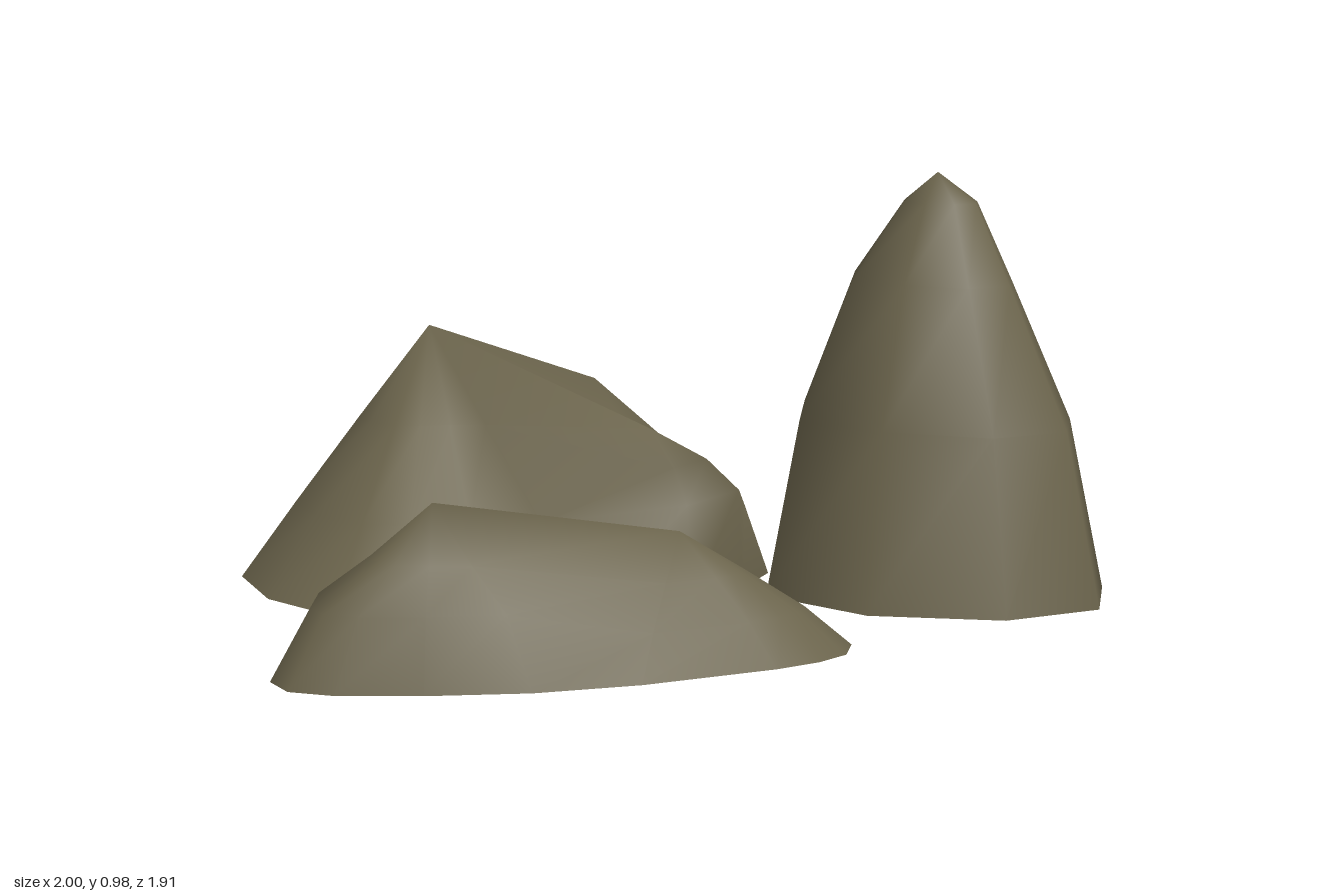
import * as THREE from 'three';
import { mergeVertices } from 'three/addons/utils/BufferGeometryUtils.js';

const stone = new THREE.MeshStandardMaterial({ color: 0x6b644c, side: THREE.DoubleSide });
stone.name = 'olive stone';

// Hollow rock: rings climb from a ground outline to one peak or a two-ended ridge.
// outline: [x, z, slope], where slope names the entry of slopes the point climbs by.
// slopes: the peak, and [share of the way inward, share of the height] for each ring between.
function rock(name, ground, slopes, outline) {
  const n = outline.length;
  const rings = Object.values(slopes)[0].profile.length + 2;
  const points = [];
  for (let r = 0; r < rings; r++) {
    for (const [x, z, slope] of outline) {
      const { peak: [px, py, pz], profile } = slopes[slope];
      const [inward, rise] = [[0, 0], ...profile, [1, 1]][r];
      points.push(x + (px - x) * inward, ground + (py - ground) * rise, z + (pz - z) * inward);
    }
  }
  const index = [];
  for (let r = 0; r < rings - 1; r++) {
    for (let i = 0; i < n; i++) {
      const a = r * n + i, b = r * n + (i + 1) % n;
      index.push(a, a + n, b);
      // the last ring only needs a second triangle where the peak changes
      const samePeak = slopes[outline[i][2]].peak === slopes[outline[(i + 1) % n][2]].peak;
      if (r < rings - 2 || !samePeak) index.push(b, a + n, b + n);
    }
  }
  let geometry = new THREE.BufferGeometry();
  geometry.setAttribute('position', new THREE.Float32BufferAttribute(points, 3));
  geometry.setIndex(index);
  geometry = mergeVertices(geometry, 1e-4);
  geometry.computeVertexNormals();
  const mesh = new THREE.Mesh(geometry, stone);
  mesh.name = name;
  return mesh;
}

export function createModel() {
  const group = new THREE.Group();
  group.name = 'rocks';

  // broad rock: straight front, full back, and a steep-ended spur with a gully behind it
  const summit = [-0.59, 0.595, -0.22];
  const spur = [0.04, 0.4, -0.18];
  group.add(rock('broadRock', 0.01, {
    front: { peak: summit, profile: [[0.29, 0.3], [0.63, 0.64]] },
    side: { peak: summit, profile: [[0.22, 0.34], [0.46, 0.61]] },
    back: { peak: summit, profile: [[0.21, 0.39], [0.45, 0.74]] },
    corner: { peak: summit, profile: [[0.1, 0.28], [0.41, 0.73]] },
    gully: { peak: summit, profile: [[0.07, 0.28], [0.36, 0.5]] },
    spur: { peak: spur, profile: [[0.05, 0.6], [0.4, 0.8]] },
  }, [
    [-1, -0.25, 'front'], [-0.97, -0.43, 'front'], [-0.93, -0.55, 'front'], [-0.86, -0.64, 'side'],
    [-0.62, -0.87, 'back'], [-0.44, -0.93, 'back'], [-0.17, -0.84, 'corner'], [0.07, -0.64, 'gully'],
    [0.17, -0.53, 'gully'], [0.195, -0.35, 'spur'], [0.185, -0.1, 'spur'], [0.02, 0.06, 'front'],
    [-0.18, 0.17, 'front'], [-0.32, 0.31, 'front'], [-0.47, 0.37, 'front'], [-0.7, 0.3, 'front'],
    [-0.9, 0.13, 'front'], [-0.98, -0.07, 'front'],
  ]));

  // tall rock, fullest at the back
  const tip = [0.55, 0.98, -0.63];
  group.add(rock('tallRock', 0.01, {
    front: { peak: tip, profile: [[0.19, 0.42], [0.5, 0.75], [0.8, 0.93]] },
    side: { peak: tip, profile: [[0.21, 0.41], [0.56, 0.74], [0.77, 0.93]] },
    back: { peak: tip, profile: [[0.12, 0.42], [0.29, 0.74], [0.62, 0.93]] },
  }, [
    [0.13, -0.64, 'front'], [0.19, -0.95, 'front'], [0.55, -0.96, 'back'], [0.92, -0.78, 'side'],
    [1, -0.55, 'side'], [0.86, -0.34, 'side'], [0.57, -0.23, 'front'], [0.28, -0.3, 'front'],
  ]));

  // low long rock lying in front
  group.add(rock('lowRock', 0, {
    high: { peak: [0, 0.365, 0.68], profile: [[0.25, 0.42], [0.6, 0.67]] },
    low: { peak: [0.36, 0.27, 0.27], profile: [[0.28, 0.34], [0.62, 0.66]] },
  }, [
    [-0.39, 0.54, 'high'], [-0.35, 0.38, 'high'], [-0.23, 0.25, 'high'], [-0.1, 0.19, 'high'],
    [0.07, 0.13, 'low'], [0.36, -0.02, 'low'], [0.48, -0.05, 'low'], [0.57, -0.04, 'low'],
    [0.64, 0, 'low'], [0.67, 0.09, 'low'], [0.65, 0.18, 'low'], [0.6, 0.28, 'low'],
    [0.42, 0.54, 'low'], [0.26, 0.71, 'high'], [0.08, 0.84, 'high'], [-0.08, 0.93, 'high'],
    [-0.18, 0.95, 'high'], [-0.26, 0.9, 'high'], [-0.35, 0.73, 'high'],
  ]));

  return group;
}
